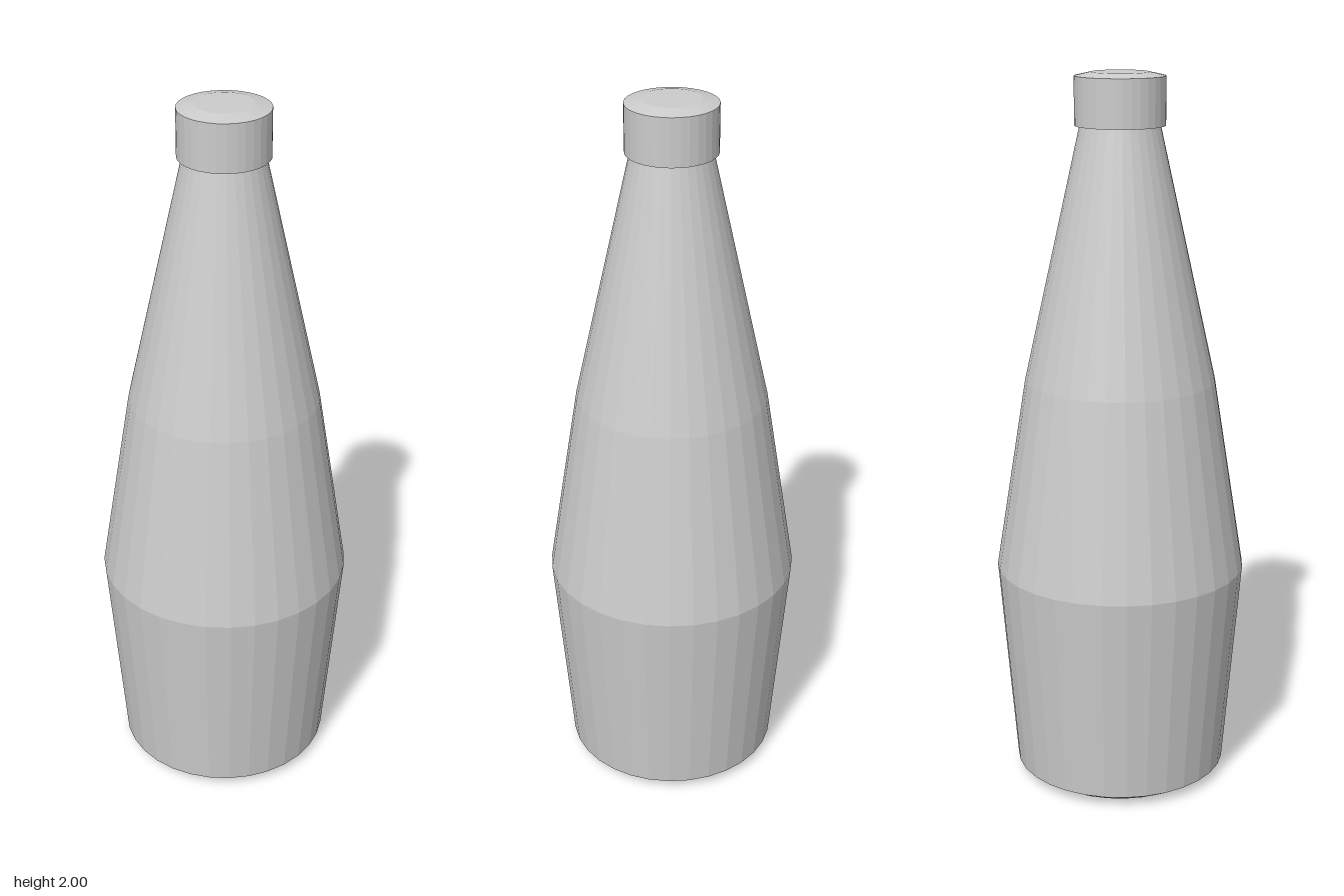
import * as THREE from 'three';

const SIDES = 32;

// Faceted turned part from [radius, height] pairs, listed bottom to top
function turned(name, profile, material) {
  const points = profile.map(([r, y]) => new THREE.Vector2(r, y));
  const mesh = new THREE.Mesh(new THREE.LatheGeometry(points, SIDES), material);
  mesh.name = name;
  return mesh;
}

export function createModel() {
  const model = new THREE.Group();
  model.name = 'bottle';
  const material = new THREE.MeshStandardMaterial({ color: 0xcccccc, flatShading: true });

  // Bottle: recessed base, chamfered foot, flared belly, tapering shoulder and neck
  model.add(turned('bottleBody', [
    [0, 0.09], [0.17, 0.09],
    [0.25, 0], [0.3, 0.03],
    [0.35, 0.625],
    [0.264, 1.165],
    [0.108, 1.865],
  ], material));

  // Cap: overhanging lip underneath, straight wall, slightly raised top
  model.add(turned('cap', [
    [0, 1.86], [0.123, 1.86],
    [0.123, 1.99],
    [0.078, 2], [0, 2],
  ], material));

  return model;
}
